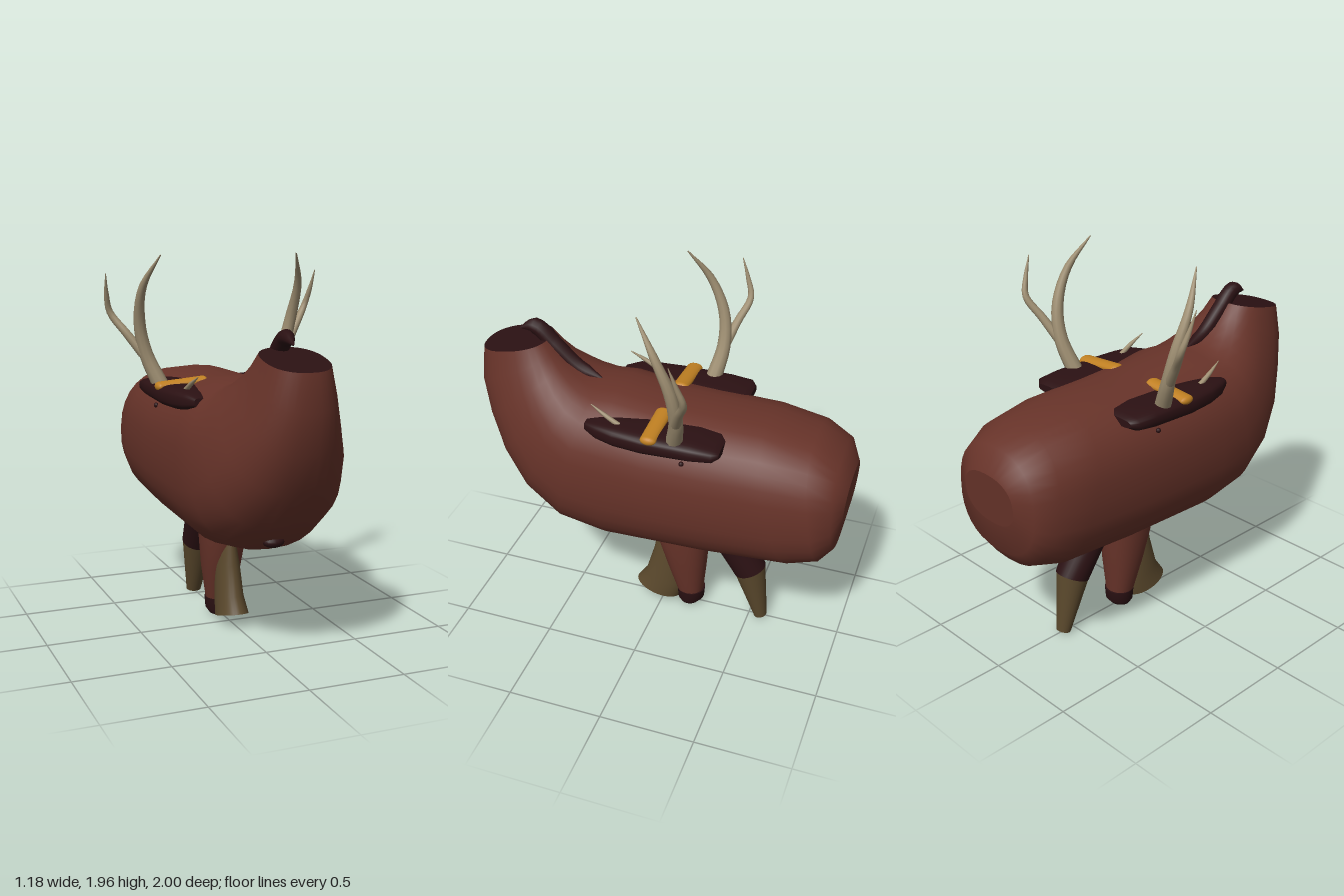
import * as THREE from 'three';

const paint = (name, color) => {
  const m = new THREE.MeshStandardMaterial({ color });
  m.name = name;
  return m;
};

// Skin over rings [backZ, backY, frontZ, frontY, halfWidth, centreX]; n sets how square a ring is.
// Groups: 0 = sides and first end, 1 = last end.
function loft(rings, n = 2, seg = 28) {
  const pos = [], idx = [];
  const addRing = ([bz, by, tz, ty, hw, cx = 0]) => {
    for (let j = 0; j < seg; j++) {
      const a = (j / seg) * Math.PI * 2;
      const bend = v => Math.sign(v) * Math.abs(v) ** (2 / n);
      const c = bend(Math.cos(a)), s = bend(Math.sin(a));
      pos.push(cx + c * hw, (by + ty) / 2 + s * (ty - by) / 2, (bz + tz) / 2 + s * (tz - bz) / 2);
    }
  };
  rings.forEach(addRing);
  for (let i = 0; i < rings.length - 1; i++) {
    for (let j = 0; j < seg; j++) {
      const k = (j + 1) % seg;
      const a = i * seg + j, b = i * seg + k, c = a + seg, d = b + seg;
      idx.push(a, b, d, a, d, c);
    }
  }
  const addCap = (r, flip) => {
    const start = pos.length / 3;
    addRing(r);
    for (let j = 1; j < seg - 1; j++) {
      if (flip) idx.push(start, start + j + 1, start + j);
      else idx.push(start, start + j, start + j + 1);
    }
  };
  addCap(rings[0], true);
  const split = idx.length;
  addCap(rings[rings.length - 1], false);
  const g = new THREE.BufferGeometry();
  g.setAttribute('position', new THREE.Float32BufferAttribute(pos, 3));
  g.setIndex(idx);
  g.addGroup(0, split, 0);
  g.addGroup(split, idx.length - split, 1);
  g.computeVertexNormals();
  return g;
}

// Tube whose radius follows evenly spaced values along the path.
function taperTube(points, radii, seg = 16, sides = 10) {
  const curve = new THREE.CatmullRomCurve3(points.map(p => new THREE.Vector3(...p)));
  const g = new THREE.TubeGeometry(curve, seg, 1, sides);
  const p = g.attributes.position, v = new THREE.Vector3();
  for (let i = 0; i <= seg; i++) {
    const c = curve.getPointAt(i / seg);
    const f = (i / seg) * (radii.length - 1), k = Math.min(Math.floor(f), radii.length - 2);
    const r = THREE.MathUtils.lerp(radii[k], radii[k + 1], f - k);
    for (let j = 0; j <= sides; j++) {
      const q = i * (sides + 1) + j;
      v.fromBufferAttribute(p, q).sub(c).multiplyScalar(r).add(c);
      p.setXYZ(q, v.x, v.y, v.z);
    }
  }
  return g;
}

export function createModel() {
  const model = new THREE.Group();
  const brown = paint('reddish brown', 0x673329);
  const dark = paint('dark maroon', 0x2b1113);
  const bone = paint('antler bone', 0xa09073);
  const tan = paint('olive tan', 0x5a482c);
  const gold = paint('gold', 0xc08022);
  const add = (name, geometry, material, parent = model) => {
    const m = new THREE.Mesh(geometry, material);
    m.name = name;
    parent.add(m);
    return m;
  };

  // Barrel body that bends up into a cut-off neck
  add('body', loft([
    [-0.985, 0.84, -1.0, 1.1, 0.18],
    [-0.96, 0.68, -0.94, 1.22, 0.28],
    [-0.9, 0.6, -0.8, 1.29, 0.34],
    [-0.75, 0.55, -0.55, 1.33, 0.37],
    [-0.3, 0.52, -0.25, 1.335, 0.383],
    [0.0, 0.51, 0.0, 1.345, 0.385],
    [0.25, 0.5, 0.22, 1.375, 0.387],
    [0.52, 0.55, 0.33, 1.365, 0.38],
    [0.73, 0.7, 0.4, 1.38, 0.35],
    [0.87, 0.9, 0.46, 1.41, 0.3],
    [0.95, 1.1, 0.52, 1.45, 0.24],
    [0.995, 1.3, 0.57, 1.5, 0.19],
    [0.98, 1.48, 0.62, 1.555, 0.155],
  ], 2.4, 32), [brown, dark]);

  // Crest over the neck
  add('crest', taperTube(
    [[0, 1.36, 0.34], [0, 1.41, 0.47], [0, 1.52, 0.6], [0, 1.605, 0.7], [0, 1.58, 0.79]],
    [0.005, 0.035, 0.04, 0.042, 0.044, 0.042, 0.002], 24, 12), dark);

  // Small nub under the chest
  const nub = add('chestNub', new THREE.SphereGeometry(1, 16, 10), dark);
  nub.scale.set(0.055, 0.03, 0.04);
  nub.position.set(-0.01, 0.61, 0.6);

  // Central leg with its hoof
  add('middleLeg', loft([
    [-0.25, 0.6, 0.05, 0.6, 0.125],
    [-0.25, 0.45, 0.035, 0.45, 0.122],
    [-0.24, 0.28, -0.02, 0.28, 0.105],
    [-0.225, 0.1, -0.08, 0.1, 0.075],
  ], 2.2), [brown, dark]);
  add('middleHoof', loft([
    [-0.235, 0.1, -0.08, 0.1, 0.08],
    [-0.23, 0.04, -0.085, 0.035, 0.075],
    [-0.205, 0.01, -0.1, 0.005, 0.055],
  ]), [dark, dark]);

  // Flared front leg with a dark sole
  add('frontLeg', loft([
    [-0.13, 0.45, 0.035, 0.48, 0.04],
    [-0.12, 0.3, 0.06, 0.33, 0.062],
    [-0.12, 0.12, 0.105, 0.17, 0.072],
    [-0.09, 0.02, 0.16, 0.09, 0.083],
  ]), [tan, dark]);

  // Rear leg: dark thigh and tan shin
  add('rearThigh', loft([
    [-0.46, 0.56, -0.24, 0.56, 0.11],
    [-0.575, 0.355, -0.41, 0.285, 0.088],
  ]), [dark, dark]);
  add('rearShin', loft([
    [-0.573, 0.355, -0.412, 0.285, 0.086],
    [-0.6, 0.02, -0.53, 0.005, 0.042],
  ]), [tan, tan]);

  // Shoulder pads with band, antlers and spike on both sides
  for (const s of [1, -1]) {
    const side = new THREE.Group();
    side.name = s > 0 ? 'leftShoulder' : 'rightShoulder';
    model.add(side);
    const path = pts => pts.map(([x, y, z]) => [s * x, y, z]);

    add('pad', loft([
      [-0.39, 1.24, -0.39, 1.28, 0.09, s * 0.25],
      [-0.36, 1.225, -0.36, 1.3, 0.115, s * 0.262],
      [-0.25, 1.21, -0.25, 1.31, 0.128, s * 0.258],
      [0, 1.2, 0, 1.312, 0.117, s * 0.27],
      [0.15, 1.205, 0.15, 1.31, 0.09, s * 0.283],
      [0.25, 1.22, 0.25, 1.305, 0.06, s * 0.29],
      [0.32, 1.24, 0.32, 1.285, 0.03, s * 0.28],
    ], 3), [dark, dark], side);

    const band = add('band', new THREE.CapsuleGeometry(0.024, 0.235, 6, 16), gold, side);
    band.scale.set(1, 1, 1.75);
    band.rotation.z = s * 1.49;
    band.position.set(s * 0.25, 1.308, -0.04);

    add('antler', taperTube(path([
      [0.315, 1.27, -0.155], [0.39, 1.45, -0.19], [0.428, 1.62, -0.175],
      [0.432, 1.8, -0.1], [0.37, 1.965, 0.01],
    ]), [0.044, 0.036, 0.03, 0.02, 0.003]), bone, side);
    add('antlerBranch', taperTube(path([
      [0.405, 1.45, -0.195], [0.48, 1.555, -0.235], [0.555, 1.665, -0.28],
      [0.578, 1.76, -0.255], [0.59, 1.865, -0.22],
    ]), [0.026, 0.022, 0.019, 0.013, 0.002]), bone, side);
    add('spike', taperTube(path([
      [0.29, 1.3, 0.14], [0.288, 1.34, 0.21], [0.278, 1.385, 0.29],
    ]), [0.014, 0.011, 0.002], 8, 8), bone, side);

    const stud = add('stud', new THREE.SphereGeometry(0.013, 10, 8), dark, side);
    stud.position.set(s * 0.335, 1.175, -0.2);
  }
  return model;
}
